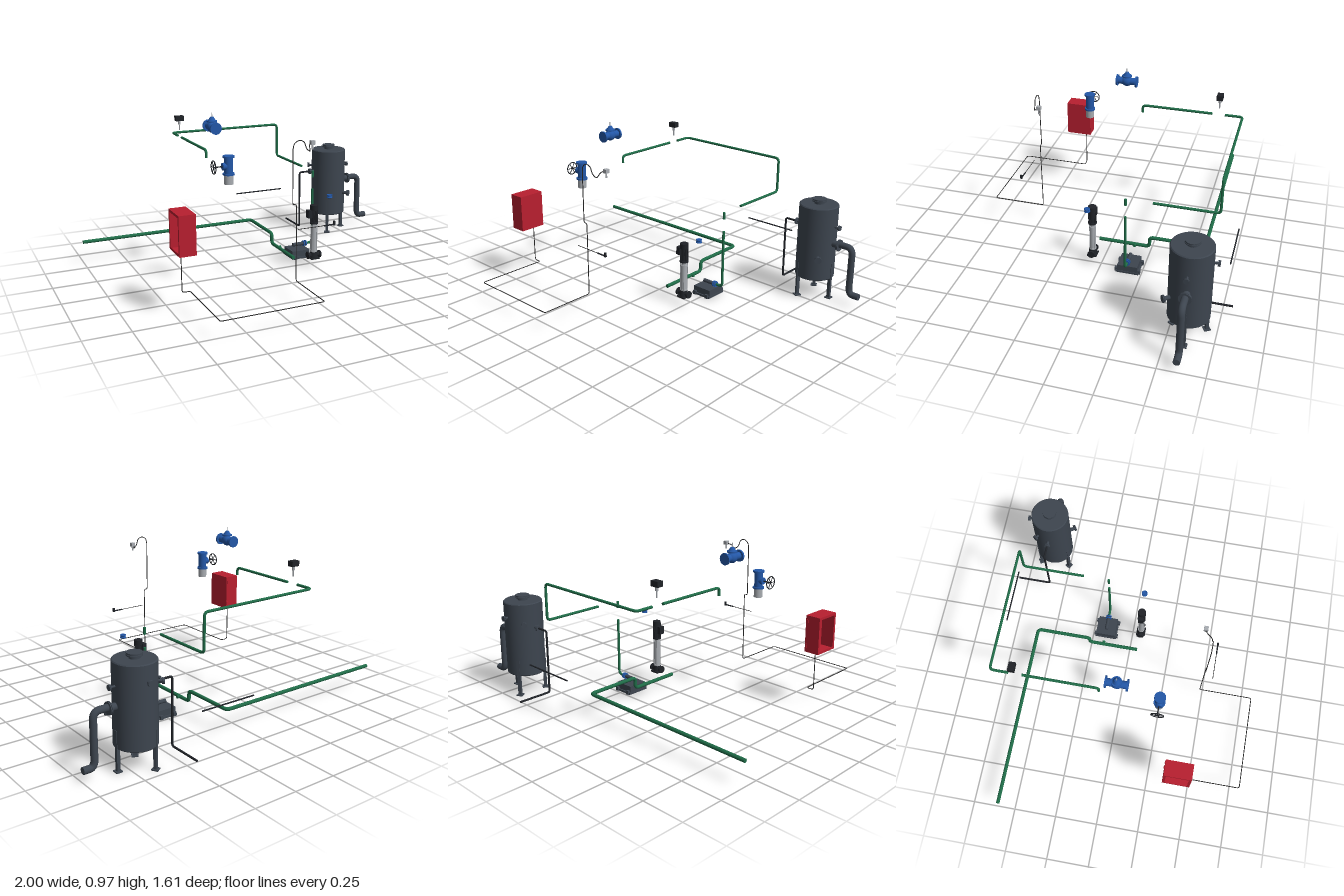
import * as THREE from 'three';
import { mergeGeometries } from 'three/addons/utils/BufferGeometryUtils.js';

const mat = (color) => new THREE.MeshStandardMaterial({ color });
const GREEN = mat(0x1f6b47), STEEL = mat(0x3d454f), BLACK = mat(0x202328), BLUE = mat(0x2458a8);
const SILVER = mat(0xa9adb2), RED = mat(0xb81f2f), WIRE = mat(0x2a2a2a);
const V = (a) => new THREE.Vector3(...a);
const Y = new THREE.Vector3(0, 1, 0);

// Cylinder geometry between two points
function rod(a, b, r, r2 = r, sides = 20) {
  const d = b.clone().sub(a);
  const g = new THREE.CylinderGeometry(r2, r, d.length(), sides);
  g.applyQuaternion(new THREE.Quaternion().setFromUnitVectors(Y, d.normalize()));
  return g.translate(...a.clone().add(b).multiplyScalar(0.5).toArray());
}

function add(parent, name, geometry, material) {
  const m = new THREE.Mesh(geometry, material);
  m.name = name;
  parent.add(m);
  return m;
}
const cyl = (p, name, m, a, b, r, r2) => add(p, name, rod(V(a), V(b), r, r2), m);
const box = (p, name, m, c, s) => add(p, name, new THREE.BoxGeometry(...s).translate(...c), m);

// Pipe run: straight lengths joined by rounded bends
function pipe(parent, name, material, pts, r, bend = 0.025, sides = 14) {
  const p = pts.map(V), parts = [];
  let start = p[0];
  for (let i = 1; i < p.length; i++) {
    if (i === p.length - 1) { parts.push(rod(start, p[i], r, r, sides)); break; }
    const toward = (q) => {
      const d = q.clone().sub(p[i]);
      return p[i].clone().addScaledVector(d.clone().normalize(), Math.min(bend, d.length() * 0.45));
    };
    const a = toward(p[i - 1]), b = toward(p[i + 1]);
    parts.push(rod(start, a, r, r, sides));
    parts.push(new THREE.TubeGeometry(new THREE.QuadraticBezierCurve3(a, p[i], b), 8, r, sides));
    start = b;
  }
  return add(parent, name, mergeGeometries(parts), material);
}

function group(root, name, x = 0, y = 0, z = 0) {
  const g = new THREE.Group();
  g.name = name;
  g.position.set(x, y, z);
  root.add(g);
  return g;
}

function buildTank(root) {
  const t = group(root, 'tank', 0.7, 0, -0.6);
  const shell = [[0, 0.123], [0.108, 0.123], [0.113, 0.128], [0.113, 0.56], [0.108, 0.565], [0, 0.565]];
  const parts = shell.slice(1).map((q, i) =>
    new THREE.LatheGeometry([shell[i], q].map((s) => new THREE.Vector2(...s)), 48));
  add(t, 'tankShell', mergeGeometries(parts), STEEL);
  cyl(t, 'manholeNeck', STEEL, [0, 0.56, 0], [0, 0.585, 0], 0.028);
  cyl(t, 'manholeFlange', STEEL, [0, 0.578, 0], [0, 0.585, 0], 0.041);
  cyl(t, 'manholeCover', STEEL, [0, 0.587, 0], [0, 0.595, 0], 0.041);
  cyl(t, 'drain', STEEL, [0, 0.105, 0], [0, 0.125, 0], 0.008);
  for (const a of [0, 2 * Math.PI / 3, -2 * Math.PI / 3]) {
    const x = 0.106 * Math.cos(a), z = 0.106 * Math.sin(a);
    for (const [name, y, s] of [['leg', 0.11, [0.018, 0.22, 0.018]], ['foot', 0.003, [0.036, 0.006, 0.036]]]) {
      const m = box(t, name, STEEL, [0, 0, 0], s);
      m.position.set(x, y, z);
      m.rotation.y = -a;
    }
  }
  // Flanged nozzles: direction, height, neck radius, flange radius, reach
  for (const [dx, dz, y, r, f, reach] of [
    [1, 0, 0.345, 0.02, 0.034, 0.155], [1, 0, 0.447, 0.006, 0.015, 0.148],
    [-1, 0, 0.42, 0.008, 0.019, 0.148], [0, -1, 0.477, 0.007, 0.016, 0.142],
    [-0.83, -0.56, 0.447, 0.007, 0.017, 0.142], [0.6, 0.8, 0.27, 0.011, 0.02, 0.155]]) {
    const at = (d) => [dx * d, y, dz * d];
    cyl(t, 'nozzle', STEEL, at(0.1), at(reach), r);
    cyl(t, 'nozzleFlange', STEEL, at(reach - 0.012), at(reach - 0.007), f);
    cyl(t, 'nozzleCounterFlange', STEEL, at(reach - 0.005), at(reach), f);
  }
  pipe(t, 'overflowPipe', STEEL, [[0.15, 0.35, 0], [0.235, 0.35, 0], [0.235, 0.065, 0], [0.3, 0.065, 0]], 0.019, 0.042, 20);
  pipe(t, 'ventPipe', BLACK, [[-0.14, 0.42, 0], [-0.22, 0.42, 0], [-0.22, 0.042, 0], [-0.22, 0.042, -0.205]], 0.006, 0.015);
}

function buildPipes(root) {
  const g = group(root, 'greenPipework');
  pipe(g, 'supplyMain', GREEN, [[-1, 0.137, -0.585], [0.11, 0.137, -0.585], [0.11, 0.137, -0.255],
    [0.11, 0.073, -0.255], [0.11, 0.073, 0.05]], 0.0105);
  pipe(g, 'inletBranch', GREEN, [[0.11, 0.073, -0.168], [0.13, 0.073, -0.168]], 0.009);
  pipe(g, 'riser', GREEN, [[0.3, 0.073, -0.168], [0.348, 0.073, -0.168], [0.348, 0.42, -0.168]], 0.0075);
  pipe(g, 'riserTop', GREEN, [[0.348, 0.495, -0.168], [0.348, 0.535, -0.168]], 0.0075);
  pipe(g, 'overheadPipe', GREEN, [[0.348, 0.535, -0.32], [0.348, 0.535, -0.684], [0.348, 0.745, -0.684],
    [-0.38, 0.745, -0.684], [-0.38, 0.745, -0.58]], 0.0075);
  pipe(g, 'testPipe', GREEN, [[-0.38, 0.745, -0.505], [-0.38, 0.745, -0.083], [-0.38, 0.7, -0.083]], 0.0075);
  pipe(g, 'looseThinPipe', BLACK, [[0.085, 0.275, -0.765], [0.42, 0.275, -0.765]], 0.004);
}

function buildPump(root) {
  const p = group(root, 'verticalPump', 0.243, 0, 0.053);
  box(p, 'pumpFoot', BLACK, [0, 0.056, 0], [0.056, 0.008, 0.056]);
  cyl(p, 'pumpVolute', BLACK, [0, 0.056, 0], [0, 0.095, 0], 0.026, 0.022);
  cyl(p, 'portBody', BLACK, [-0.042, 0.075, 0], [0.042, 0.075, 0], 0.014);
  for (const s of [-1, 1]) cyl(p, 'portFlange', BLACK, [s * 0.034, 0.075, 0], [s * 0.043, 0.075, 0], 0.022);
  cyl(p, 'stageCasing', SILVER, [0, 0.09, 0], [0, 0.25, 0], 0.0185);
  for (const y of [0.095, 0.245]) cyl(p, 'casingBand', SILVER, [0, y, 0], [0, y + 0.008, 0], 0.021);
  cyl(p, 'motorStool', SILVER, [0, 0.25, 0], [0, 0.275, 0], 0.015);
  for (let i = 0; i < 4; i++) {
    const a = Math.PI / 4 + i * Math.PI / 2, x = 0.02 * Math.cos(a), z = 0.02 * Math.sin(a);
    cyl(p, 'tieRod', SILVER, [x, 0.09, z], [x, 0.27, z], 0.0018);
  }
  cyl(p, 'motorFlange', BLACK, [0, 0.27, 0], [0, 0.28, 0], 0.025);
  cyl(p, 'motor', BLACK, [0, 0.28, 0], [0, 0.36, 0], 0.021);
  for (let i = 0; i < 16; i++) {
    const fin = box(p, 'coolingFin', BLACK, [0.0215, 0.318, 0], [0.005, 0.072, 0.002]);
    fin.rotation.y = i * Math.PI / 8;
  }
  cyl(p, 'fanCover', BLACK, [0, 0.355, 0], [0, 0.384, 0], 0.024);
  box(p, 'terminalBox', BLACK, [-0.033, 0.333, 0], [0.024, 0.046, 0.034]);

  const b = group(root, 'pumpPlinth', 0.243, 0, -0.168);
  box(b, 'plinthBlock', STEEL, [0, 0.029, 0], [0.118, 0.04, 0.118]);
  box(b, 'plinthBase', STEEL, [0, 0.006, 0], [0.125, 0.012, 0.135]);
  for (const x of [-0.045, 0.045]) for (const z of [-0.068, 0.068])
    box(b, 'plinthLug', STEEL, [x, 0.012, z], [0.02, 0.024, 0.014]);
  cyl(b, 'plinthValve', STEEL, [-0.03, 0.073, 0], [0.06, 0.073, 0], 0.011);
  for (const x of [0.042, 0.056]) cyl(b, 'plinthValveFlange', BLUE, [x, 0.073, 0], [x + 0.006, 0.073, 0], 0.018);

  const c = group(root, 'checkValve', 0.348, 0.426, 0.05);
  cyl(c, 'checkValveBody', BLUE, [0, -0.007, 0], [0, 0.007, 0], 0.014);
  for (const s of [-1, 1]) {
    const ring = add(c, 'checkValveRim', new THREE.TorusGeometry(0.014, 0.0035, 8, 24).rotateX(Math.PI / 2), BLUE);
    ring.position.y = s * 0.007;
  }
}

// Globe valve with ports along local z and bonnet along local y
function globeValve(root, name, x, y, z) {
  const g = group(root, name, x, y, z);
  const body = add(g, 'valveBody', new THREE.SphereGeometry(0.031, 24, 16), BLUE);
  body.scale.set(0.9, 1, 1.1);
  for (const s of [-1, 1]) {
    cyl(g, 'valveNeck', BLUE, [0, 0, 0], [0, 0, s * 0.06], 0.021);
    cyl(g, 'valveFlange', BLUE, [0, 0, s * 0.053], [0, 0, s * 0.063], 0.033);
  }
  cyl(g, 'bonnetFlange', BLUE, [0, 0.028, 0], [0, 0.036, 0], 0.029);
  cyl(g, 'bonnet', BLUE, [0, 0.036, 0], [0, 0.056, 0], 0.022, 0.01);
  return g;
}

function buildValves(root) {
  const a = globeValve(root, 'upperValve', -0.38, 0.893, 0.018);
  cyl(a, 'valveStem', SILVER, [0, 0.05, 0], [0, 0.08, 0], 0.0025);

  const b = group(root, 'handwheelValve', -0.38, 0.722, 0.252);
  cyl(b, 'valveBody', BLUE, [0, -0.045, 0], [0, 0.045, 0], 0.024);
  for (const y of [-0.048, 0.046]) cyl(b, 'valveFlange', BLUE, [0, y, 0], [0, y + 0.01, 0], 0.032);
  cyl(b, 'valveBonnet', BLUE, [0, 0, 0], [-0.036, 0, 0], 0.02);
  cyl(b, 'valveStem', BLACK, [-0.03, 0, 0], [-0.088, 0, 0], 0.0035);
  add(b, 'handwheel', new THREE.TorusGeometry(0.035, 0.0028, 8, 32).rotateY(Math.PI / 2).translate(-0.085, 0, 0), BLACK);
  for (let i = 0; i < 3; i++) {
    const q = i * Math.PI / 3, y = 0.035 * Math.sin(q), z = 0.035 * Math.cos(q);
    cyl(b, 'wheelSpoke', BLACK, [-0.085, -y, -z], [-0.085, y, z], 0.002);
  }
  const sleeve = add(b, 'dischargeSleeve', new THREE.CylinderGeometry(0.025, 0.025, 0.052, 24, 1, true).translate(0, -0.072, 0), SILVER.clone());
  sleeve.material.side = THREE.DoubleSide;

  const s = group(root, 'flowSwitch', -0.38, 0, -0.545);
  box(s, 'switchHousing', BLACK, [0, 0.858, 0], [0.05, 0.03, 0.036]);
  cyl(s, 'switchNeck', SILVER, [0, 0.82, 0], [0, 0.845, 0], 0.008);
  box(s, 'switchPaddle', SILVER, [0, 0.803, 0], [0.003, 0.036, 0.008]);
}

function buildCabinet(root) {
  // Cabinet open on its -x side
  const c = group(root, 'controlCabinet', -0.7, 0.449, 0.417);
  box(c, 'cabinetFace', RED, [0.0425, 0, 0], [0.005, 0.214, 0.156]);
  for (const s of [-1, 1]) {
    box(c, 'cabinetEndPanel', RED, [0, s * 0.1045, 0], [0.09, 0.005, 0.156]);
    box(c, 'cabinetSidePanel', RED, [0, 0, s * 0.0755], [0.09, 0.214, 0.005]);
    box(c, 'cabinetRimEnd', RED, [-0.043, s * 0.1, 0], [0.004, 0.014, 0.156]);
    box(c, 'cabinetRimSide', RED, [-0.043, 0, s * 0.071], [0.004, 0.214, 0.014]);
    box(c, 'hinge', RED, [0.036, s * 0.07, -0.079], [0.012, 0.025, 0.005]);
  }

  const w = group(root, 'cableAndSensors');
  pipe(w, 'cable', WIRE, [[-0.7, 0.345, 0.38], [-0.7, 0.11, 0.38], [-0.655, 0.11, 0.38], [-0.655, 0.11, 0.8],
    [-0.092, 0.11, 0.8], [-0.092, 0.11, 0.48], [-0.092, 0.535, 0.48], [-0.115, 0.535, 0.48], [-0.115, 0.83, 0.48]], 0.0025, 0.015, 8);
  const loop = [[-0.115, 0.83, 0.48], [-0.107, 0.858, 0.48], [-0.08, 0.874, 0.48], [-0.052, 0.864, 0.48],
    [-0.035, 0.828, 0.478], [-0.012, 0.812, 0.472], [-0.004, 0.835, 0.45], [0.01, 0.845, 0.433]].map(V);
  add(w, 'cableLoop', new THREE.TubeGeometry(new THREE.CatmullRomCurve3(loop), 60, 0.0025, 8), WIRE);
  box(w, 'sensorHead', SILVER, [0.022, 0.847, 0.433], [0.024, 0.022, 0.024]);
  cyl(w, 'sensorTip', SILVER, [0.022, 0.81, 0.433], [0.022, 0.84, 0.433], 0.005);
  cyl(w, 'probeRod', WIRE, [-0.11, 0.415, 0.532], [0.06, 0.415, 0.532], 0.0018);
  cyl(w, 'probeBody', BLACK, [0.045, 0.415, 0.532], [0.11, 0.415, 0.532], 0.004);
  box(w, 'probeHead', BLACK, [0.106, 0.422, 0.532], [0.01, 0.024, 0.011]);
}

export function createModel() {
  const root = new THREE.Group();
  root.name = 'pumpStation';
  [buildTank, buildPipes, buildPump, buildValves, buildCabinet].forEach((build) => build(root));
  return root;
}
